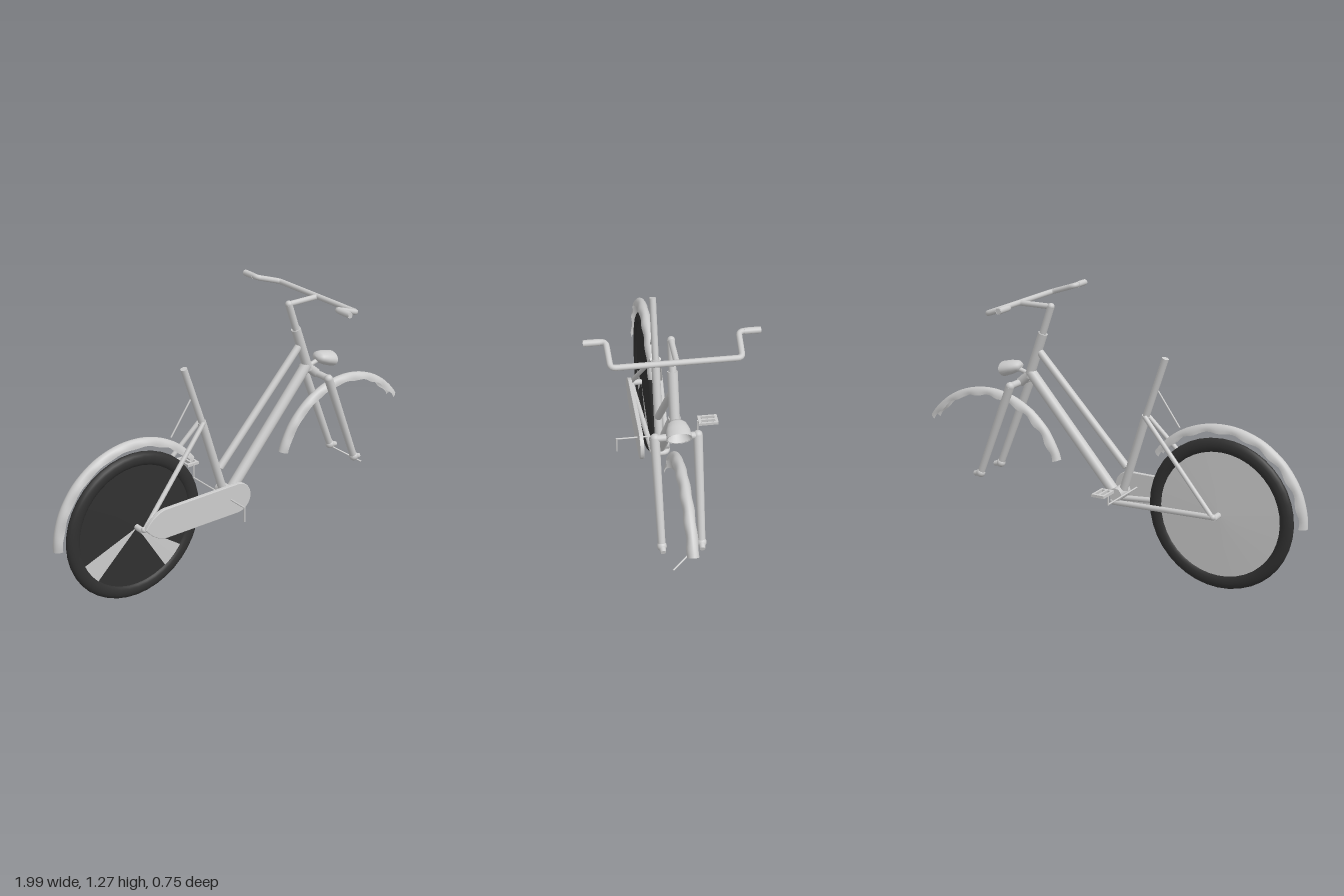
import * as THREE from 'three';

const grey = new THREE.MeshStandardMaterial({ color: 0xcccccc, side: THREE.DoubleSide });
const black = new THREE.MeshStandardMaterial({ color: 0x303030, side: THREE.DoubleSide });
const V = (x, y, z = 0) => new THREE.Vector3(x, y, z);

export function createModel() {
  const model = new THREE.Group();

  function add(name, geometry, material = grey, parent = model) {
    const mesh = new THREE.Mesh(geometry, material);
    mesh.name = name;
    parent.add(mesh);
    return mesh;
  }

  // straight round tube between two points
  function rod(name, a, b, r, r2 = r) {
    const d = b.clone().sub(a);
    const mesh = add(name, new THREE.CylinderGeometry(r2, r, d.length(), 14));
    mesh.position.copy(a).add(b).multiplyScalar(0.5);
    mesh.quaternion.setFromUnitVectors(V(0, 1, 0), d.normalize());
    return mesh;
  }

  function ball(name, p, r) {
    add(name, new THREE.SphereGeometry(r, 14, 10)).position.copy(p);
  }

  // bent tube with rounded corners
  function bentTube(name, points, r, round) {
    const path = new THREE.CurvePath();
    let last = points[0];
    for (let i = 1; i < points.length - 1; i++) {
      const p = points[i];
      const before = p.clone().add(points[i - 1].clone().sub(p).setLength(round));
      const after = p.clone().add(points[i + 1].clone().sub(p).setLength(round));
      path.add(new THREE.LineCurve3(last, before));
      path.add(new THREE.QuadraticBezierCurve3(before, p, after));
      last = after;
    }
    path.add(new THREE.LineCurve3(last, points[points.length - 1]));
    return add(name, new THREE.TubeGeometry(path, 120, r, 12));
  }

  // rear wheel: tyre ring, spoke cones and hub
  const wheel = new THREE.Group();
  wheel.name = 'rearWheel';
  wheel.position.set(-0.58, 0.357, 0);
  model.add(wheel);
  const profile = [];
  for (let i = 0; i <= 16; i++) {
    const a = (i / 16) * Math.PI * 2;
    profile.push(new THREE.Vector2(0.322 + 0.033 * Math.cos(a), 0.022 * Math.sin(a)));
  }
  add('tyre', new THREE.LatheGeometry(profile, 40), black, wheel).rotation.x = Math.PI / 2;
  const spokeCone = (start, length, lift) => {
    const pts = [new THREE.Vector2(0.001, 0.02 + lift), new THREE.Vector2(0.3, 0.01 + lift)];
    return new THREE.LatheGeometry(pts, 36, start, length).rotateX(Math.PI / 2);
  };
  add('spokesLeft', spokeCone(0, Math.PI * 2, 0), black, wheel);
  for (const start of [0.55, 5.1]) add('spokeSector', spokeCone(start, 0.4, 0.002), grey, wheel);
  add('spokesRight', spokeCone(0, Math.PI * 2, 0), grey, wheel).rotation.y = Math.PI;
  add('hub', new THREE.CylinderGeometry(0.014, 0.014, 0.15, 12), grey, wheel).rotation.x = Math.PI / 2;

  // mudguards: curved strips with a slightly dented edge
  function mudguard(name, cx, cy, from, to) {
    const geo = new THREE.PlaneGeometry(1, 1, 56, 10);
    const pos = geo.attributes.position;
    for (let i = 0; i < pos.count; i++) {
      const u = pos.getX(i) + 0.5, s = pos.getY(i) * 3.3;
      const a = THREE.MathUtils.degToRad(from + (to - from) * u);
      const dent = 0.004 * Math.sin(u * 47) * (1 - Math.cos(s));
      const r = 0.383 + 0.032 * Math.cos(s) + dent;
      pos.setXYZ(i, cx + r * Math.cos(a), cy + r * Math.sin(a), 0.025 * Math.sin(s) + dent * 0.7);
    }
    geo.computeVertexNormals();
    add(name, geo);
  }
  mudguard('rearMudguard', -0.585, 0.362, 180, 36);
  mudguard('frontMudguard', 0.655, 0.362, 164, 35);

  // frame
  rod('seatTube', V(-0.2, 0.76), V(-0.085, 0.39), 0.02);
  rod('seatPost', V(-0.295, 1.04), V(-0.2, 0.76), 0.016);
  rod('topTube', V(0.365, 0.99), V(-0.1, 0.5), 0.018);
  rod('downTube', V(0.415, 0.885), V(-0.03, 0.375), 0.026);
  rod('headTube', V(0.345, 1.08), V(0.425, 0.86), 0.023);
  rod('steererTube', V(0.3, 1.21), V(0.36, 1.04), 0.017);
  rod('bottomBracket', V(-0.065, 0.37, -0.045), V(-0.065, 0.37, 0.045), 0.032);
  rod('mudguardStay', V(-0.26, 0.885), V(-0.37, 0.73), 0.004);
  bentTube('chainStays', [
    V(-0.58, 0.365, -0.075), V(-0.035, 0.33, -0.035), V(-0.035, 0.33, 0.035), V(-0.58, 0.365, 0.075),
  ], 0.013, 0.025);
  for (const s of [-1, 1]) {
    rod('seatStay', V(-0.2, 0.76, s * 0.015), V(-0.575, 0.365, s * 0.075), 0.011);
    ball('rearDropout', V(-0.578, 0.365, s * 0.075), 0.014);
  }

  // handlebar
  rod('stem', V(0.3, 1.21), V(0.47, 1.21), 0.013);
  ball('stemJoint', V(0.3, 1.21), 0.017);
  const half = [V(0.47, 1.212, 0.275), V(0.34, 1.255, 0.28), V(0.34, 1.255, 0.375)];
  const mirrored = half.map((p) => V(p.x, p.y, -p.z)).reverse();
  bentTube('handlebar', [...mirrored, ...half], 0.013, 0.022);
  for (const s of [-1, 1]) {
    rod('grip', V(0.34, 1.255, s * 0.305), V(0.34, 1.255, s * 0.373), 0.0145);
  }

  // front fork
  rod('forkNeck', V(0.42, 0.875), V(0.475, 0.828), 0.022);
  rod('forkCrown', V(0.475, 0.828, -0.093), V(0.475, 0.828, 0.093), 0.016);
  for (const s of [-1, 1]) {
    ball('forkShoulder', V(0.473, 0.828, s * 0.093), 0.021);
    rod('forkLeg', V(0.473, 0.828, s * 0.093), V(0.652, 0.378, s * 0.088), 0.021, 0.017);
    ball('forkEnd', V(0.655, 0.372, s * 0.088), 0.022);
    rod('forkTip', V(0.655, 0.372, s * 0.088), V(0.69, 0.364, s * 0.086), 0.017, 0.012);
  }
  rod('frontAxle', V(0.66, 0.36, -0.07), V(0.742, 0.302, 0.05), 0.004);

  // headlamp: open flattened bowl facing forward
  const bowl = [[0.001, -0.05], [0.024, -0.047], [0.04, -0.032], [0.051, 0], [0.056, 0.045],
    [0.051, 0.043], [0.035, 0.005], [0.001, -0.02]].map(([r, h]) => new THREE.Vector2(r, h));
  const lampGeo = new THREE.LatheGeometry(bowl, 24);
  lampGeo.scale(0.64, 1, 1);
  const lamp = add('headlamp', lampGeo);
  lamp.position.set(0.518, 0.897, 0);
  lamp.rotation.z = -Math.PI / 2 - 0.3;
  rod('lampBracket', V(0.4, 0.868), V(0.485, 0.892), 0.011);

  // chain case: capsule with a tapered rear end
  const outline = new THREE.Shape();
  outline.moveTo(-0.07, 0.3);
  outline.absarc(-0.07, 0.372, 0.072, -Math.PI / 2, Math.PI / 2, false);
  outline.lineTo(-0.48, 0.442);
  outline.quadraticCurveTo(-0.54, 0.43, -0.58, 0.372);
  outline.quadraticCurveTo(-0.53, 0.305, -0.47, 0.302);
  const caseGeo = new THREE.ExtrudeGeometry(outline, {
    depth: 0.014, bevelSize: 0.003, bevelThickness: 0.003, bevelSegments: 2, curveSegments: 20,
  });
  add('chainCase', caseGeo).position.z = 0.083;

  // crank and pedal
  rod('crankAxle', V(-0.11, 0.377, -0.19), V(-0.11, 0.377, 0.2), 0.004);
  rod('leftCrank', V(-0.11, 0.38, 0.2), V(-0.11, 0.305, 0.2), 0.004);
  rod('rightCrank', V(-0.11, 0.374, -0.19), V(-0.11, 0.447, -0.19), 0.004);
  const pedalShape = new THREE.Shape();
  const rect = (path, x, y, w, h) => path.moveTo(x, y).lineTo(x + w, y).lineTo(x + w, y + h).lineTo(x, y + h).closePath();
  rect(pedalShape, -0.032, -0.047, 0.064, 0.094);
  for (const x of [-0.022, 0.005]) {
    const slot = new THREE.Path();
    rect(slot, x, -0.033, 0.017, 0.066);
    pedalShape.holes.push(slot);
  }
  const pedal = add('pedal', new THREE.ExtrudeGeometry(pedalShape, { depth: 0.013, bevelEnabled: false }));
  pedal.rotation.x = -Math.PI / 2;
  pedal.position.set(-0.11, 0.439, -0.239);

  return model;
}
